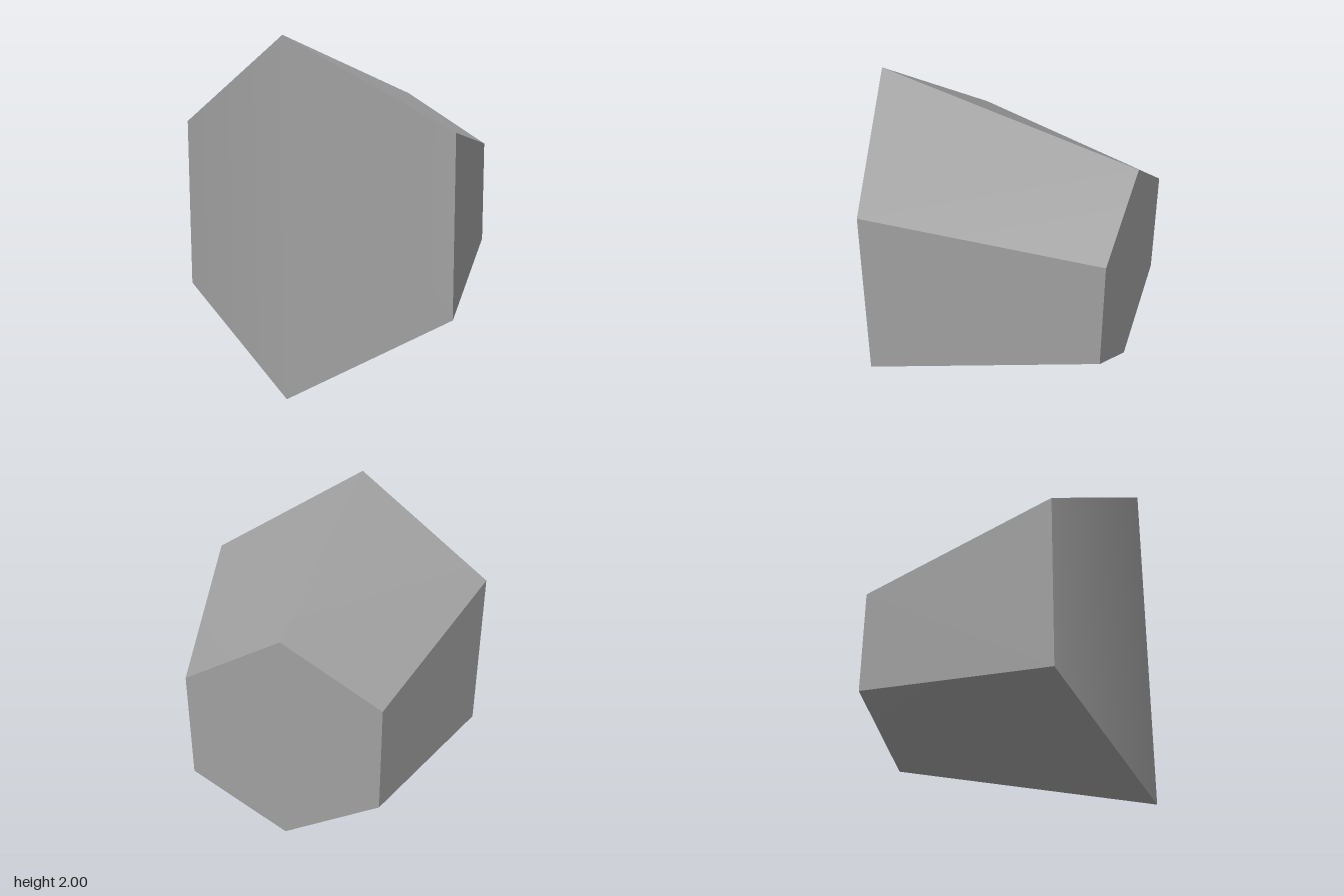
import * as THREE from 'three';

const FRONT_RADIUS = 1, BACK_RADIUS = 0.635, CENTRE_Y = 1;
const RIDGE_Z = 0.79, SIDE_Z = 0.5, BACK_Z = -0.79;

// Six corners, counter-clockwise from the top; zAt gives the depth of corner i
function hexagon(radius, zAt) {
  return Array.from({ length: 6 }, (_, i) => {
    const a = Math.PI / 2 + i * Math.PI / 3;
    return [radius * Math.cos(a), CENTRE_Y + radius * Math.sin(a), zAt(i)];
  });
}

// A face with shared corners, so its own normals blend but its border stays sharp
function face(name, corners, index, material) {
  const g = new THREE.BufferGeometry();
  g.setAttribute('position', new THREE.Float32BufferAttribute(corners.flat(), 3));
  g.setIndex(index);
  g.computeVertexNormals();
  const mesh = new THREE.Mesh(g, material);
  mesh.name = name;
  return mesh;
}

export function createModel() {
  const group = new THREE.Group();
  group.name = 'taperedHexagonalBlock';
  const grey = new THREE.MeshStandardMaterial({ color: 0xa0a0a0 });
  grey.name = 'grey';

  const front = hexagon(FRONT_RADIUS, i => (i % 3 === 0 ? RIDGE_Z : SIDE_Z));
  const back = hexagon(BACK_RADIUS, () => BACK_Z);
  const fan = [0, 1, 2, 0, 2, 3, 0, 3, 4, 0, 4, 5];

  // Front folded softly along its vertical centre line, and flat back
  group.add(face('foldedFront', front, fan, grey));
  group.add(face('back', [...back].reverse(), fan, grey));

  // Six tapering sides, split so that the block stays convex
  for (let i = 0; i < 6; i++) {
    const j = (i + 1) % 6;
    const corners = [front[i], back[i], back[j], front[j]];
    const split = j % 3 === 0 ? [0, 1, 2, 0, 2, 3] : [0, 1, 3, 3, 1, 2];
    group.add(face(`side${i + 1}`, corners, split, grey));
  }
  return group;
}
